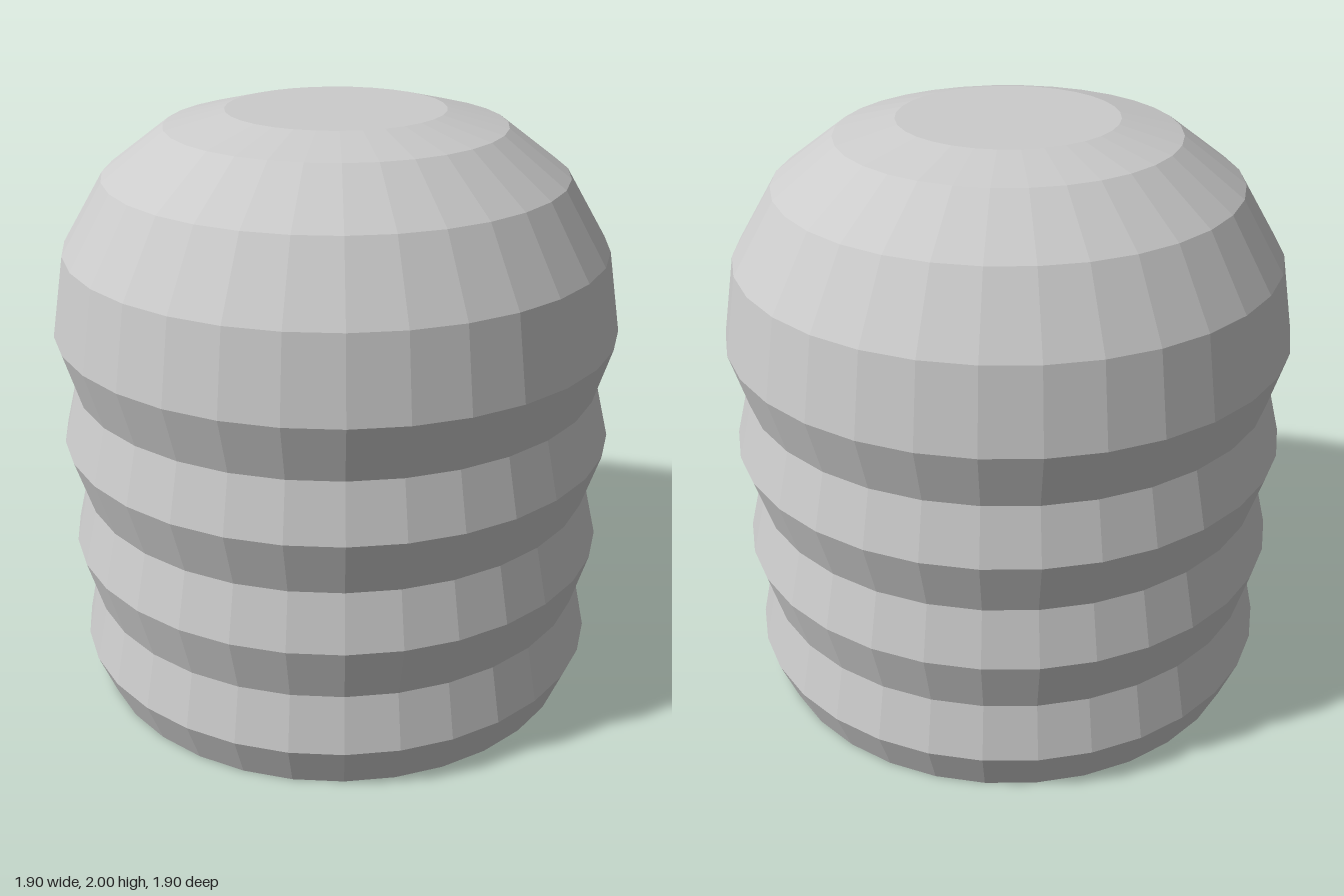
import * as THREE from 'three';

export function createModel() {
  const model = new THREE.Group();
  const material = new THREE.MeshStandardMaterial({
    color: 0xcccccc, flatShading: true, side: THREE.DoubleSide,
  });

  const add = (name, geometry, y = 0) => {
    const mesh = new THREE.Mesh(geometry, material);
    mesh.name = name;
    mesh.position.y = y;
    model.add(mesh);
  };

  // Ribbed wall rising into a faceted dome; the bottom is open
  const profile = [
    [0.85, 0], [0.91, 0.15], [0.87, 0.34], [0.925, 0.53], [0.88, 0.72],
    [0.94, 0.91], [0.893, 1.1], [0.95, 1.29], [0.905, 1.56],
    [0.765, 1.795], [0.56, 1.95], [0.36, 2], [0, 2],
  ].map(([r, y]) => new THREE.Vector2(r, y));
  add('ribbedShell', new THREE.LatheGeometry(profile, 32));

  // Thin strip across the open bottom
  add('crossStrip', new THREE.BoxGeometry(1.69, 0.006, 0.17), 0.003);

  // Small block on the inner side of the strip
  add('innerBlock', new THREE.BoxGeometry(0.585, 0.08, 0.17), 0.046);

  return model;
}
